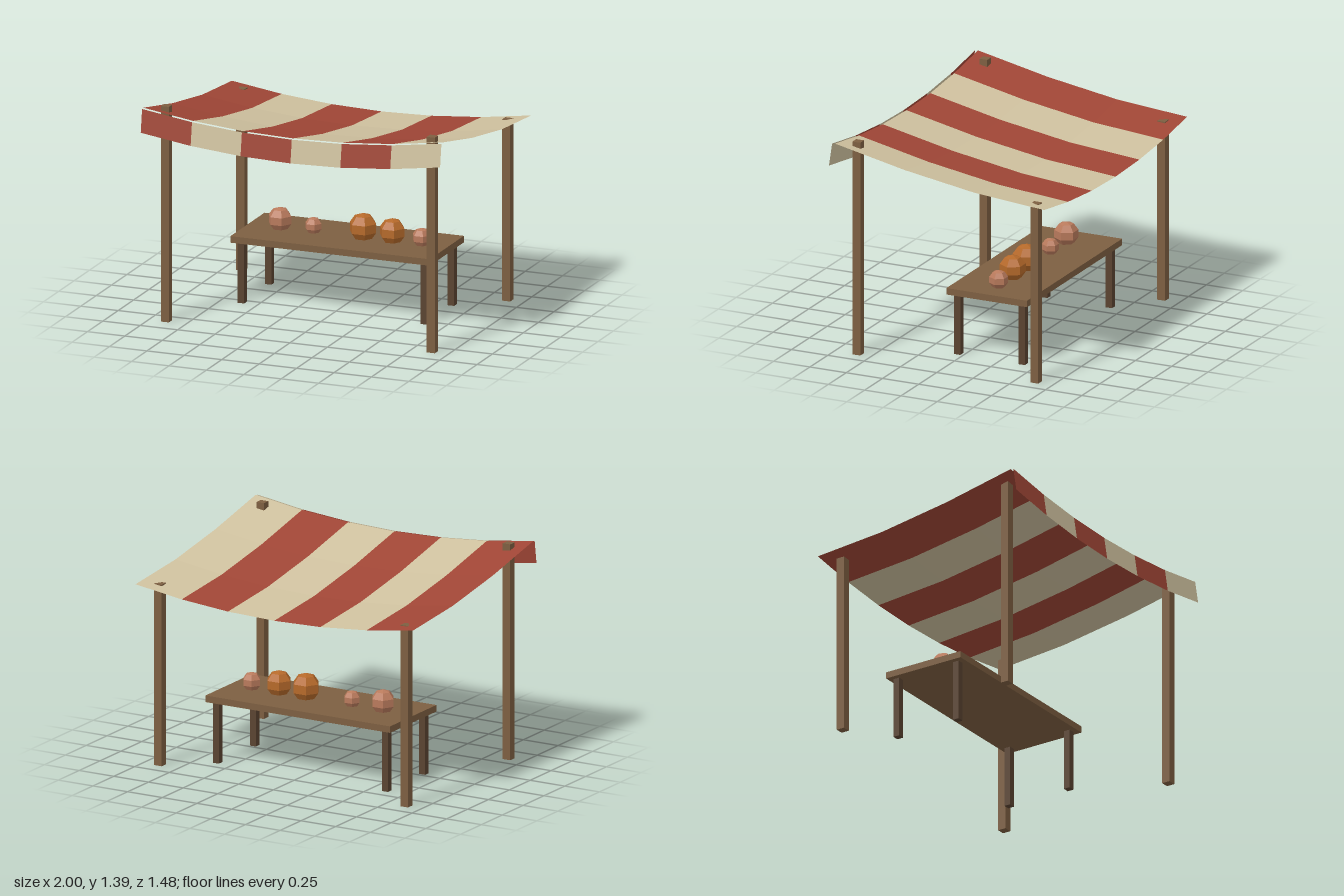
import * as THREE from 'three';

const mat = (color, side = THREE.FrontSide) =>
  new THREE.MeshStandardMaterial({ color, side, flatShading: true, roughness: 0.9 });

// Strip of cloth spanning x0..x1, lofted through [z, y] rows; sags towards x = 0
function clothStrip(x0, x1, rows) {
  const pos = [], index = [];
  const sag = (x) => 0.086 * x * x;
  rows.forEach(([z, y], i) => {
    pos.push(x0, y + sag(x0), z, x1, y + sag(x1), z);
    if (i > 0) {
      const a = 2 * (i - 1);
      index.push(a, a + 2, a + 1, a + 1, a + 2, a + 3);
    }
  });
  const geo = new THREE.BufferGeometry();
  geo.setAttribute('position', new THREE.Float32BufferAttribute(pos, 3));
  geo.setIndex(index);
  geo.computeVertexNormals();
  return geo;
}

export function createModel() {
  const group = new THREE.Group();
  const wood = mat(0x7d5f41), darkWood = mat(0x5a4330);
  const red = mat(0xa04636, THREE.DoubleSide), cream = mat(0xcfc19f, THREE.DoubleSide);
  const orange = mat(0xb5692a), rosy = mat(0xb97a5c);

  const add = (name, geo, material, x = 0, y = 0, z = 0) => {
    const mesh = new THREE.Mesh(geo, material);
    mesh.name = name;
    mesh.position.set(x, y, z);
    group.add(mesh);
    return mesh;
  };
  const box = (name, w, h, d, material, x, y, z) =>
    add(name, new THREE.BoxGeometry(w, h, d), material, x, y + h / 2, z);

  // Striped canopy falling towards the back, with a hanging front valance
  const roofRows = [[-0.74, 1.085], [-0.26, 1.126], [0.22, 1.202], [0.70, 1.303]];
  const valanceRows = [[0.72, 1.300], [0.742, 1.153]];
  for (let i = 0; i < 6; i++) {
    const x0 = -1 + i / 3, x1 = x0 + 1 / 3;
    const cloth = i % 2 ? cream : red;
    add('canopyStripe', clothStrip(x0, x1, roofRows), cloth);
    add('valanceStripe', clothStrip(x0, x1, valanceRows), cloth);
  }

  // Posts and table legs, mirrored left and right
  for (const s of [-1, 1]) {
    box('frontPost', 0.054, 1.388, 0.054, wood, s * 0.888, 0, 0.595);
    box('backPost', 0.054, 1.167, 0.054, wood, s * 0.888, 0, -0.63);
    for (const z of [0.04, -0.404]) {
      box('tableLeg', 0.043, 0.395, 0.043, darkWood, s * 0.61, 0, z);
    }
  }

  // Table top
  box('tableTop', 1.332, 0.042, 0.555, wood, 0, 0.393, -0.18);

  // Fruit resting slightly sunk in the table: [x, radius, material]
  const fruit = [
    [-0.448, 0.079, rosy], [-0.225, 0.056, rosy], [0.107, 0.092, orange],
    [0.302, 0.085, orange], [0.498, 0.062, rosy],
  ];
  for (const [x, r, m] of fruit) {
    add('fruit', new THREE.SphereGeometry(r, 6, 5), m, x, 0.435 + 0.75 * r, -0.18);
  }
  return group;
}
